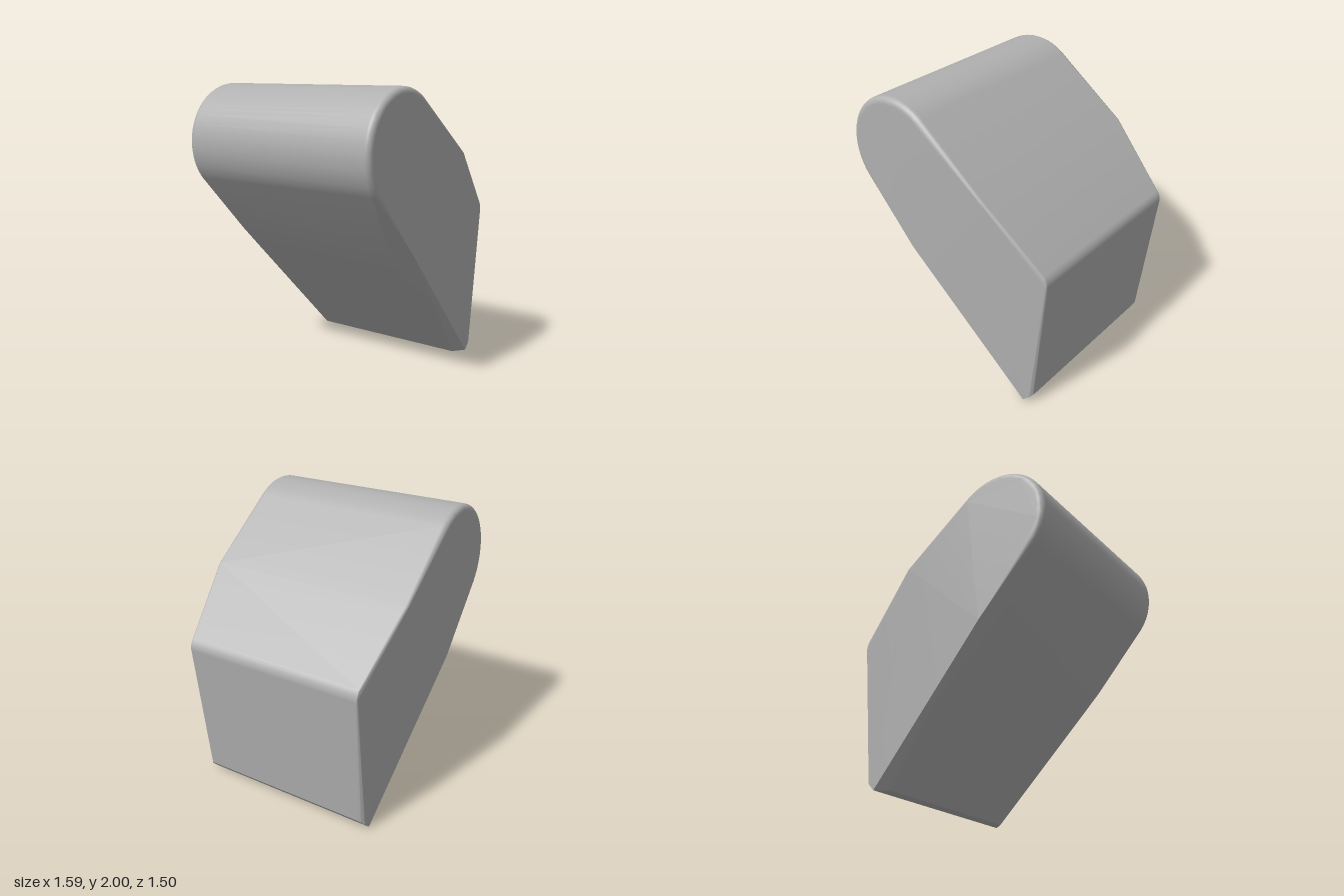
import * as THREE from 'three';
import { ConvexGeometry } from 'three/addons/geometries/ConvexGeometry.js';

// Area-weighted smooth normals that keep edges sharper than the given angle.
function creaseNormals(geometry, angle) {
  const pos = geometry.attributes.position;
  const limit = Math.cos(angle);
  const faces = [];
  const around = new Map();
  const key = (i) => [pos.getX(i), pos.getY(i), pos.getZ(i)].map((v) => Math.round(v * 1e4)).join();
  const [a, b, c] = [0, 1, 2].map(() => new THREE.Vector3());
  for (let i = 0; i < pos.count; i += 3) {
    a.fromBufferAttribute(pos, i);
    b.fromBufferAttribute(pos, i + 1).sub(a);
    c.fromBufferAttribute(pos, i + 2).sub(a);
    const weighted = new THREE.Vector3().crossVectors(b, c);
    const face = { weighted, unit: weighted.clone().normalize() };
    faces.push(face);
    for (let j = i; j < i + 3; j++) {
      if (!around.has(key(j))) around.set(key(j), []);
      around.get(key(j)).push(face);
    }
  }
  const normals = new Float32Array(pos.count * 3);
  for (let i = 0; i < pos.count; i++) {
    const face = faces[Math.floor(i / 3)];
    const n = new THREE.Vector3();
    for (const f of around.get(key(i))) if (f.unit.dot(face.unit) > limit) n.add(f.weighted);
    n.normalize().toArray(normals, i * 3);
  }
  geometry.setAttribute('normal', new THREE.BufferAttribute(normals, 3));
  return geometry;
}

export function createModel() {
  const grey = new THREE.MeshStandardMaterial({ color: 0xb0b0b0 });
  grey.name = 'grey';

  const points = [];
  const add = (x, y, z) => {
    points.push(new THREE.Vector3(x, y, z), new THREE.Vector3(x, y, -z));
  };
  // Rounded rim: an outline point with its outward direction, half width and fillet radius.
  const rim = (x, y, nx, ny, z, r, steps) => {
    for (let k = 0; k <= steps; k++) {
      const t = (k / steps) * Math.PI / 2;
      const inset = r * (1 - Math.cos(t));
      add(x - nx * inset, y - ny * inset, z - r * (1 - Math.sin(t)));
    }
  };

  // Round head
  const start = 0.921, end = 3.80, segments = 32;
  for (let i = 0; i <= segments; i++) {
    const t = start + (end - start) * i / segments;
    const nx = Math.cos(t), ny = Math.sin(t);
    rim(-0.4 + 0.4 * nx, 1.6 + 0.4 * ny, nx, ny, 0.75, 0.04, 5);
  }

  // Bend in the top, where the sides begin to taper
  rim(0.345, 1.54, 0.66, 0.75, 0.75, 0.02, 3);

  // Rounded shoulder at the narrow end
  for (let i = 0; i <= 6; i++) {
    const t = 0.785 - 0.885 * i / 6;
    const nx = Math.cos(t), ny = Math.sin(t);
    rim(0.69 + 0.1 * nx, 1.065 + 0.1 * ny, nx, ny, 0.668, 0.015, 2);
  }

  // Foot with its small bevel and rounded corners
  add(0.69, 0.085, 0.61);
  add(0.682, 0.076, 0.645);
  add(0.66, 0.05, 0.664);
  add(0.61, 0, 0.666);
  add(0.525, 0, 0.6);

  // Underside bend and the lower edge of the sides
  add(-0.3, 0.82, 0.6);
  add(-0.3, 0.93, 0.75);

  const body = new THREE.Mesh(creaseNormals(new ConvexGeometry(points), 0.55), grey);
  body.name = 'body';

  const model = new THREE.Group();
  model.name = 'wedgeBlock';
  model.add(body);
  return model;
}
